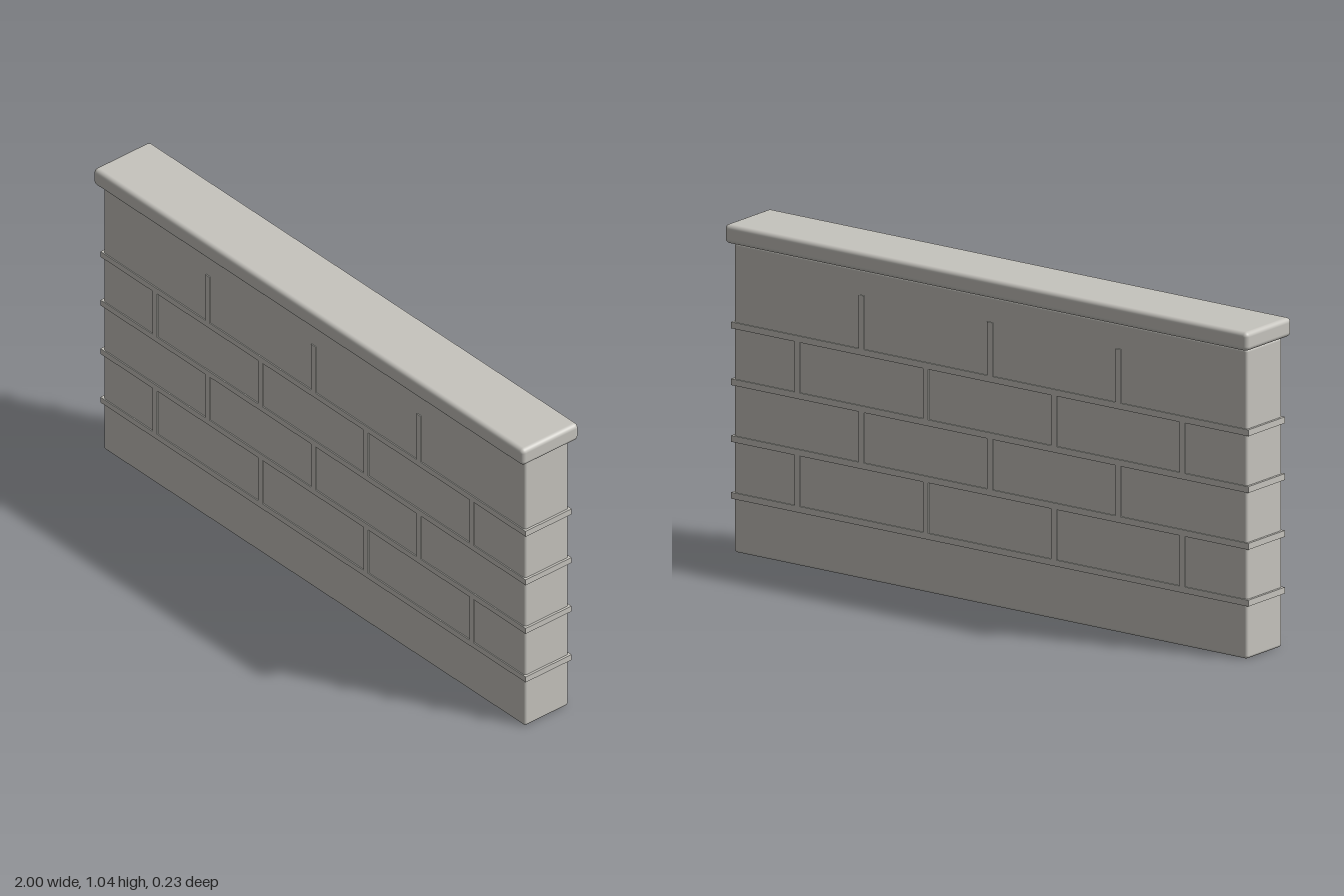
import * as THREE from 'three';
import { RoundedBoxGeometry } from 'three/addons/geometries/RoundedBoxGeometry.js';

export function createModel() {
  const group = new THREE.Group();
  group.name = 'blockWall';
  const stone = new THREE.MeshStandardMaterial({ color: 0xc6c4be });
  stone.name = 'light grey stone';

  const add = (name, geometry, x, y, z = 0) => {
    const mesh = new THREE.Mesh(geometry, stone);
    mesh.name = name;
    mesh.position.set(x, y, z);
    group.add(mesh);
  };

  const wallH = 0.98, wallD = 0.177;
  const course = 0.1795; // height of one row of blocks
  const joint = 0.02, jointD = 0.184;

  // Wall body and overhanging coping
  add('wallBody', new RoundedBoxGeometry(1.962, wallH, wallD, 4, 0.01), 0, wallH / 2);
  add('coping', new RoundedBoxGeometry(2, 0.06, 0.228, 4, 0.015), 0, wallH + 0.03);

  // Raised mortar bands, with staggered upright joints above each
  const bandGeometry = new THREE.BoxGeometry(1.978, joint, jointD);
  const uprightGeometry = new THREE.BoxGeometry(joint, course, jointD);
  const spacing = 0.491;
  for (let row = 1; row <= 4; row++) {
    add('mortarBand', bandGeometry, 0, row * course);
    const count = row % 2 ? 4 : 3;
    for (let i = 0; i < count; i++) {
      add('uprightJoint', uprightGeometry, (i - (count - 1) / 2) * spacing, (row + 0.5) * course);
    }
  }
  return group;
}
